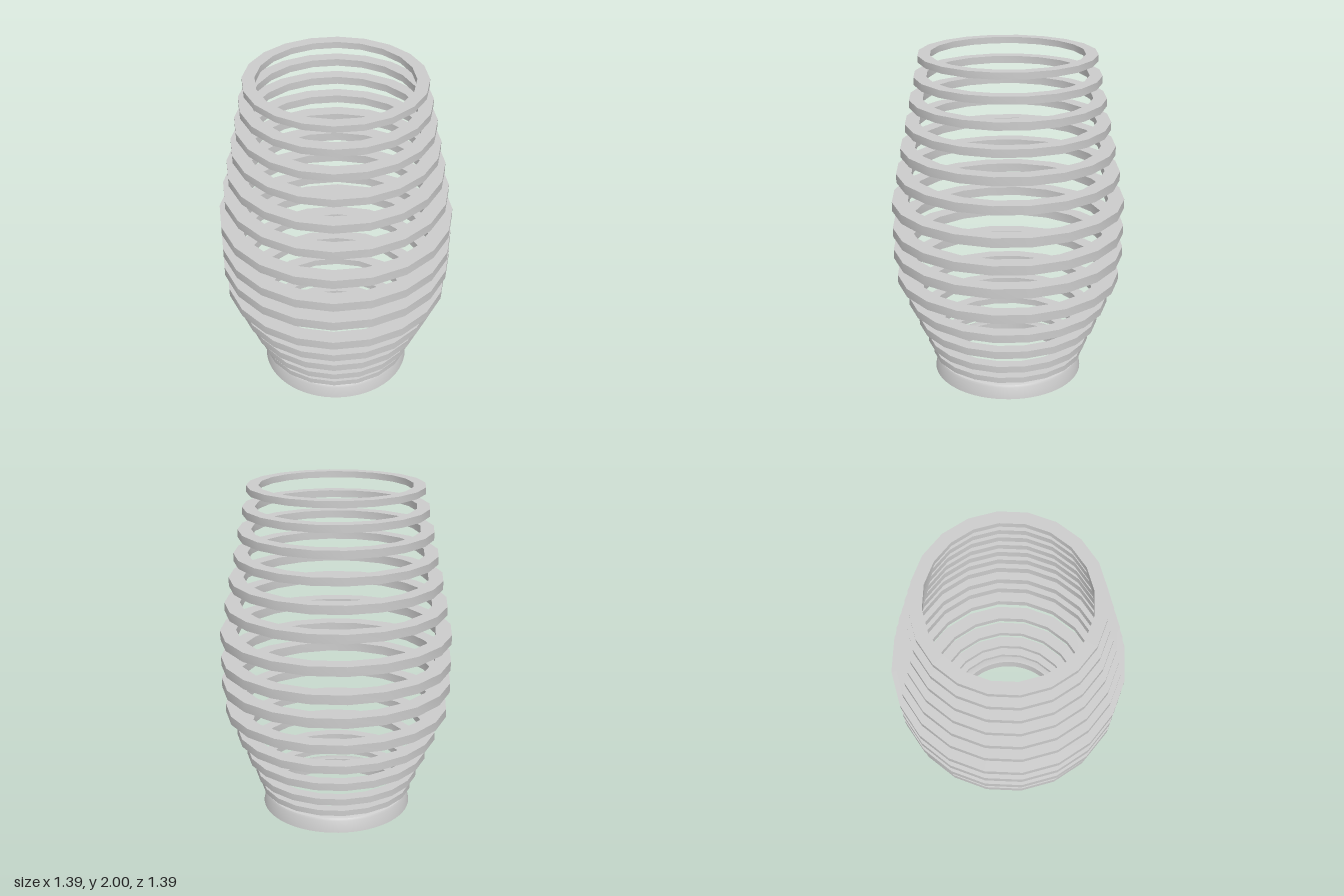
import * as THREE from 'three';
import { toCreasedNormals } from 'three/addons/utils/BufferGeometryUtils.js';

const material = new THREE.MeshStandardMaterial({ color: 0xcccccc });

// Closed cross-section [radius, y] revolved around the vertical axis
function revolve(name, profile, sides) {
  const points = [...profile, profile[0]].map(([r, y]) => new THREE.Vector2(r, y));
  const geometry = toCreasedNormals(new THREE.LatheGeometry(points, sides), 0.6);
  const mesh = new THREE.Mesh(geometry, material);
  mesh.name = name;
  return mesh;
}

// Flat hoops from bottom to top: [outer radius, bottom y, top y]
const HOOPS = [
  [0.468, 0.117, 0.151],
  [0.502, 0.204, 0.244],
  [0.555, 0.326, 0.371],
  [0.613, 0.461, 0.509],
  [0.677, 0.615, 0.668],
  [0.695, 0.778, 0.836],
  [0.695, 0.918, 0.974],
  [0.695, 1.082, 1.138],
  [0.663, 1.257, 1.31],
  [0.633, 1.411, 1.463],
  [0.601, 1.56, 1.607],
  [0.572, 1.701, 1.747],
  [0.543, 1.835, 1.878],
  [0.516, 1.962, 2.0],
];

export function createModel() {
  const model = new THREE.Group();
  model.name = 'hoopLantern';

  // Round base collar with a chamfered upper rim
  model.add(revolve('baseCollar', [
    [0.37, 0], [0.457, 0], [0.444, 0.07], [0.437, 0.083], [0.42, 0.09], [0.37, 0.09],
  ], 64));

  // Barrel-shaped stack of twenty-sided hoops, walls in proportion to the radius
  const hoops = new THREE.Group();
  hoops.name = 'hoops';
  HOOPS.forEach(([outer, y0, y1], i) => {
    const inner = outer * 0.863;
    hoops.add(revolve(`hoop${i + 1}`, [[inner, y0], [outer, y0], [outer, y1], [inner, y1]], 20));
  });
  model.add(hoops);
  return model;
}
